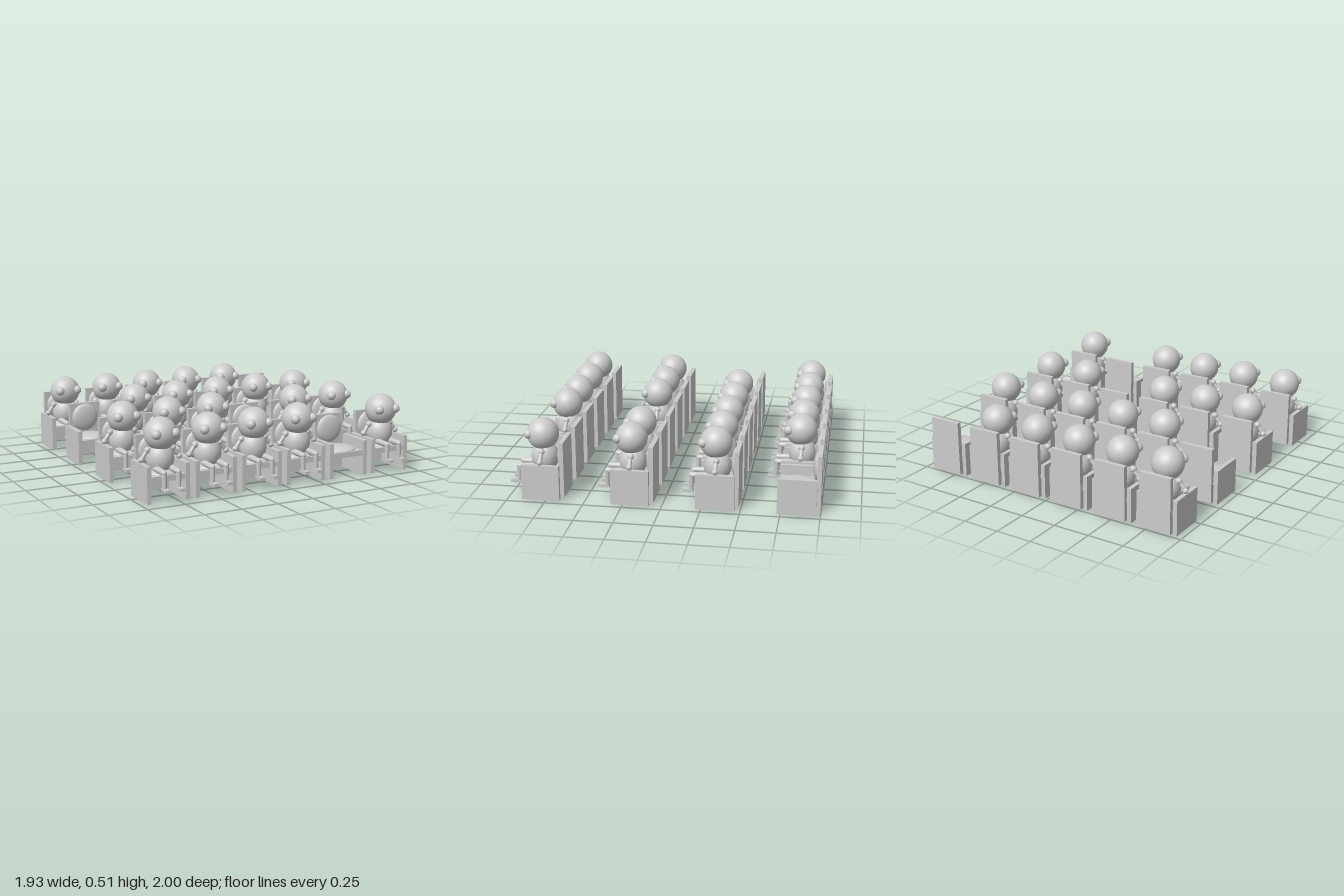
import * as THREE from 'three';

const grey = new THREE.MeshStandardMaterial({ color: 0xcccccc });
const V = (x, y, z) => new THREE.Vector3(x, y, z);

function add(parent, name, geometry, x = 0, y = 0, z = 0) {
  const mesh = new THREE.Mesh(geometry, grey);
  mesh.name = name;
  mesh.position.set(x, y, z);
  parent.add(mesh);
  return mesh;
}

// Ellipsoid with the given half sizes
const ball = (rx, ry, rz, w = 28, h = 18) => new THREE.SphereGeometry(1, w, h).scale(rx, ry, rz);

// Round limb between two points
function limb(parent, name, a, b, rA, rB) {
  const dir = b.clone().sub(a);
  const mid = a.clone().add(b).multiplyScalar(0.5);
  const mesh = add(parent, name, new THREE.CylinderGeometry(rB, rA, dir.length(), 14), mid.x, mid.y, mid.z);
  mesh.quaternion.setFromUnitVectors(V(0, 1, 0), dir.normalize());
}

// Chair with its rear face at z = 0
const chairGeo = {
  back: new THREE.BoxGeometry(0.222, 0.37, 0.03),
  backCushion: ball(0.094, 0.094, 0.028),
  seat: new THREE.BoxGeometry(0.232, 0.035, 0.24),
  seatCushion: ball(0.114, 0.026, 0.114),
  side: new THREE.BoxGeometry(0.028, 0.232, 0.246),
};

function makeChair() {
  const chair = new THREE.Group();
  chair.name = 'chair';
  add(chair, 'backrest', chairGeo.back, 0, 0.195, 0.015);
  add(chair, 'backCushion', chairGeo.backCushion, 0, 0.28, 0.03);
  add(chair, 'seat', chairGeo.seat, 0, 0.148, 0.146);
  add(chair, 'seatCushion', chairGeo.seatCushion, 0, 0.166, 0.146);
  for (const s of [-1, 1]) add(chair, s > 0 ? 'leftSidePanel' : 'rightSidePanel', chairGeo.side, s * 0.13, 0.116, 0.148);
  return chair;
}

// Seated figure
const figureGeo = {
  head: ball(0.104, 0.104, 0.104),
  body: ball(0.088, 0.105, 0.088),
  eye: ball(0.031, 0.031, 0.031, 16, 12),
  shoulder: ball(0.021, 0.021, 0.021, 14, 10),
  hand: ball(0.019, 0.019, 0.019, 14, 10),
  knee: ball(0.018, 0.018, 0.018, 14, 10),
  foot: new THREE.BoxGeometry(0.034, 0.02, 0.07),
};

function makeFigure() {
  const figure = new THREE.Group();
  figure.name = 'seatedFigure';
  add(figure, 'head', figureGeo.head, 0, 0.405, 0.157);
  add(figure, 'body', figureGeo.body, 0, 0.25, 0.147);
  for (const s of [-1, 1]) {
    const side = s > 0 ? 'left' : 'right';
    add(figure, side + 'Eye', figureGeo.eye, s * 0.063, 0.416, 0.235);

    // Arm resting on the side panel
    const shoulder = V(s * 0.085, 0.307, 0.147);
    const hand = V(s * 0.129, 0.25, 0.15);
    add(figure, side + 'Shoulder', figureGeo.shoulder, ...shoulder);
    limb(figure, side + 'Arm', shoulder, hand, 0.014, 0.012);
    add(figure, side + 'Hand', figureGeo.hand, ...hand);

    // Bent leg with a flat foot
    const hip = V(s * 0.048, 0.196, 0.16);
    const knee = V(s * 0.048, 0.194, 0.307);
    limb(figure, side + 'Thigh', hip, knee, 0.021, 0.018);
    add(figure, side + 'Knee', figureGeo.knee, ...knee);
    limb(figure, side + 'Shin', knee, V(s * 0.048, 0.09, 0.31), 0.017, 0.014);
    add(figure, side + 'Foot', figureGeo.foot, s * 0.048, 0.09, 0.33);
  }
  return figure;
}

export function createModel() {
  const model = new THREE.Group();
  model.name = 'audience';
  // Rear edge of each row and the column left empty in it
  const rows = [[-1, 5], [-0.487, 0], [0.056, 3], [0.635, 4]];
  rows.forEach(([z, empty], r) => {
    const row = new THREE.Group();
    row.name = `row${r + 1}`;
    row.position.z = z;
    for (let c = 0; c < 6; c++) {
      const place = new THREE.Group();
      place.name = `place${c + 1}`;
      place.position.x = -0.815 + c * 0.326;
      place.add(makeChair());
      if (c !== empty) place.add(makeFigure());
      row.add(place);
    }
    model.add(row);
  });
  return model;
}
